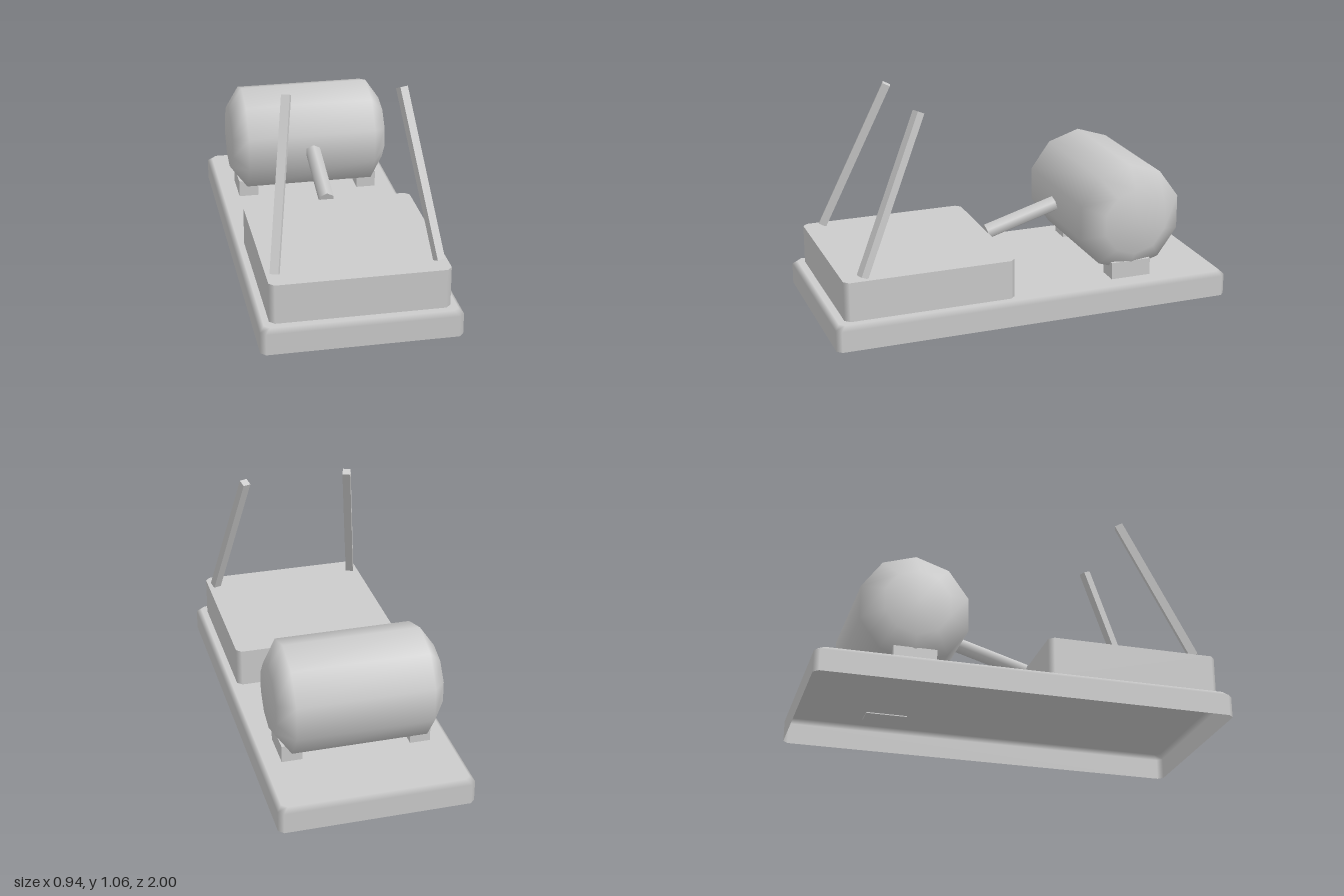
import * as THREE from 'three';

const grey = new THREE.MeshStandardMaterial({ color: 0xcccccc, side: THREE.DoubleSide });
grey.name = 'plain grey';

function add(parent, name, geometry) {
  const mesh = new THREE.Mesh(geometry, grey);
  mesh.name = name;
  parent.add(mesh);
  return mesh;
}

// Open-bottomed slab with bevelled upright corners and an optional bevelled top edge.
// Bevel vertices take the normals of their flat neighbours, so the bevels shade round.
function slabGeometry(w, d, y0, y1, cut, topBevel) {
  const pos = [], nor = [], idx = [];
  const ring = (y, inset, up) => {
    const X = w / 2 - inset, Z = d / 2 - inset, c = cut;
    const corners = [
      [X, Z - c, 1, 0], [X, -Z + c, 1, 0], [X - c, -Z, 0, -1], [-X + c, -Z, 0, -1],
      [-X, -Z + c, -1, 0], [-X, Z - c, -1, 0], [-X + c, Z, 0, 1], [X - c, Z, 0, 1],
    ];
    const start = pos.length / 3;
    for (const [x, z, nx, nz] of corners) {
      pos.push(x, y, z);
      nor.push(...(up ? [0, 1, 0] : [nx, 0, nz]));
    }
    return start;
  };
  const join = (a, b) => {
    for (let i = 0; i < 8; i++) {
      const j = (i + 1) % 8;
      idx.push(a + i, a + j, b + j, a + i, b + j, b + i);
    }
  };
  const foot = ring(y0, 0, false);
  const shoulder = ring(y1 - topBevel, 0, false);
  const top = ring(y1, topBevel, true);
  join(foot, shoulder);
  if (topBevel > 0) join(shoulder, top);
  for (let i = 1; i < 7; i++) idx.push(top, top + i, top + i + 1);
  const g = new THREE.BufferGeometry();
  g.setAttribute('position', new THREE.Float32BufferAttribute(pos, 3));
  g.setAttribute('normal', new THREE.Float32BufferAttribute(nor, 3));
  g.setIndex(idx);
  return g;
}

// Places a y-aligned part between two points, turned to face its lean
function span(mesh, from, to) {
  const d = to.clone().sub(from);
  mesh.position.copy(from).add(to).multiplyScalar(0.5);
  mesh.rotation.order = 'YXZ';
  mesh.rotation.y = Math.atan2(d.x, d.z);
  mesh.rotation.x = Math.atan2(Math.hypot(d.x, d.z), d.y);
}

export function createModel() {
  const model = new THREE.Group();
  model.name = 'model';

  // Hollow base and the raised block at the front
  add(model, 'base', slabGeometry(0.94, 2, 0, 0.125, 0.024, 0.022));
  add(model, 'frontBlock', slabGeometry(0.84, 0.84, 0.125, 0.318, 0.024, 0)).position.z = 0.525;

  // Ten-sided tank lying across the base, with tapered ends
  const profile = [[0, -0.403], [0.165, -0.403], [0.272, -0.33], [0.272, 0.33], [0.165, 0.403], [0, 0.403]]
    .map(([r, y]) => new THREE.Vector2(r, y));
  const tankGeometry = new THREE.LatheGeometry(profile, 10);
  tankGeometry.rotateY(Math.PI / 2).rotateZ(Math.PI / 2);
  add(model, 'tank', tankGeometry).position.set(0, 0.424, -0.524);

  // Feet under the tank
  for (const s of [1, -1]) {
    add(model, s > 0 ? 'leftFoot' : 'rightFoot', new THREE.BoxGeometry(0.1, 0.09, 0.205))
      .position.set(s * 0.316, 0.165, -0.523);
  }

  // Six-sided pipe from the block up to the tank
  const from = new THREE.Vector3(0, 0.317, 0.107), to = new THREE.Vector3(0, 0.424, -0.258);
  const pipe = add(model, 'pipe', new THREE.CylinderGeometry(0.04, 0.04, from.distanceTo(to), 6));
  span(pipe, from, to);

  // Pair of square levers leaning back and inward
  for (const s of [1, -1]) {
    const a = new THREE.Vector3(s * 0.38, 0.323, 0.848), b = new THREE.Vector3(s * 0.267, 1.053, 0.528);
    const lever = add(model, s > 0 ? 'leftLever' : 'rightLever', new THREE.BoxGeometry(0.04, a.distanceTo(b), 0.04));
    span(lever, a, b);
  }
  return model;
}
